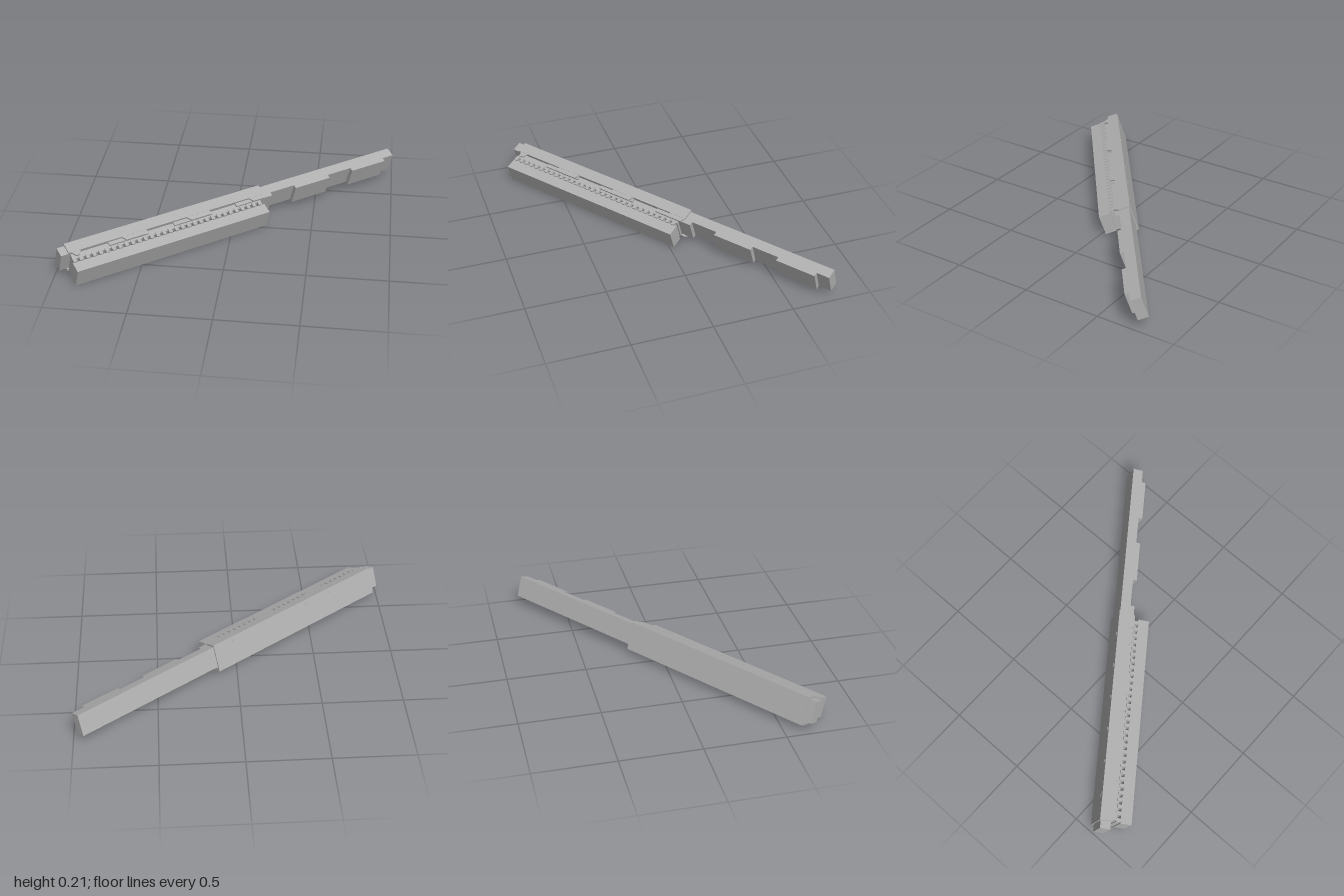
import * as THREE from 'three';

export function createModel() {
  const gray = new THREE.MeshStandardMaterial({ color: 0xb0b0b0 });
  gray.name = 'plain gray';
  const model = new THREE.Group();
  model.name = 'slidingRack';

  // everything is built straight along x, then turned and rolled as one piece
  const rack = new THREE.Group();
  rack.name = 'rack';
  rack.rotation.set(THREE.MathUtils.degToRad(19), THREE.MathUtils.degToRad(36.7), 0, 'YXZ');
  model.add(rack);

  const add = (name, geometry) => {
    const mesh = new THREE.Mesh(geometry, gray);
    mesh.name = name;
    rack.add(mesh);
    return mesh;
  };
  // box from its limits along each axis
  const box = (name, x0, x1, y0, y1, z0, z1) => {
    const mesh = add(name, new THREE.BoxGeometry(x1 - x0, y1 - y0, z1 - z0));
    mesh.position.set((x0 + x1) / 2, (y0 + y1) / 2, (z0 + z1) / 2);
    return mesh;
  };
  // outline in (x, z), raised from y0 to y1
  const slab = (name, points, y0, y1) => {
    const shape = new THREE.Shape(points.map(([x, z]) => new THREE.Vector2(x, -z)));
    const g = new THREE.ExtrudeGeometry(shape, { depth: y1 - y0, bevelEnabled: false });
    g.rotateX(-Math.PI / 2);
    g.translate(0, y0, 0);
    return add(name, g);
  };

  // long sliding bar with its front steps, as one stepped outline
  const back = -0.102, low = -0.037, high = -0.011;
  const outline = [[-1.185, back], [1.228, back], [1.228, low]];
  for (let i = 0; i < 5; i++) {
    const end = 1.145 - 0.441 * i, start = end - 0.262;
    outline.push([end, low], [end, high], [start, high], [start, low]);
  }
  outline.push([-1.185, low]);
  slab('slidingBar', outline, 0.04, 0.176);

  // C-shaped sleeve behind, above and below the bar
  const profile = [[-0.11, 0.01], [-0.035, 0.01], [-0.035, 0.03], [-0.1025, 0.03],
    [-0.1025, 0.176], [-0.035, 0.176], [-0.035, 0.188], [-0.11, 0.188]];
  const sleeve = new THREE.ExtrudeGeometry(
    new THREE.Shape(profile.map(([z, y]) => new THREE.Vector2(-z, y))),
    { depth: 1.351, bevelEnabled: false });
  sleeve.rotateY(Math.PI / 2);
  sleeve.translate(-1.137, 0, 0);
  add('sleeve', sleeve);

  // lugs on the upper and lower lips
  for (const [a, b] of [[-1.12, -1.06], [-0.79, -0.62], [-0.345, -0.185], [0.1, 0.214]]) {
    const lug = [[a, -0.036], [b, -0.036], [b - 0.02, -0.005], [a + 0.02, -0.005]];
    slab('upperLug', lug, 0.176, 0.187);
    slab('lowerLug', lug, 0.012, 0.03);
  }

  // core between the bar and the front block
  box('core', -1.125, 0.175, 0.032, 0.166, -0.036, 0.004);

  // front block and its row of teeth
  box('frontBlock', -1.137, 0.184, 0.034, 0.165, 0.026, 0.098);
  for (let i = 0; i < 31; i++) {
    const x = -1.13 + i * 0.0425;
    box('tooth', x, x + 0.022, 0.03, 0.173, -0.005, 0.029);
  }

  // small ribs along the back of the sleeve
  for (let i = 0; i < 6; i++) {
    const x = -0.98 + i * 0.208;
    box('backRib', x - 0.011, x + 0.011, 0.157, 0.163, -0.113, -0.109);
  }
  return model;
}
